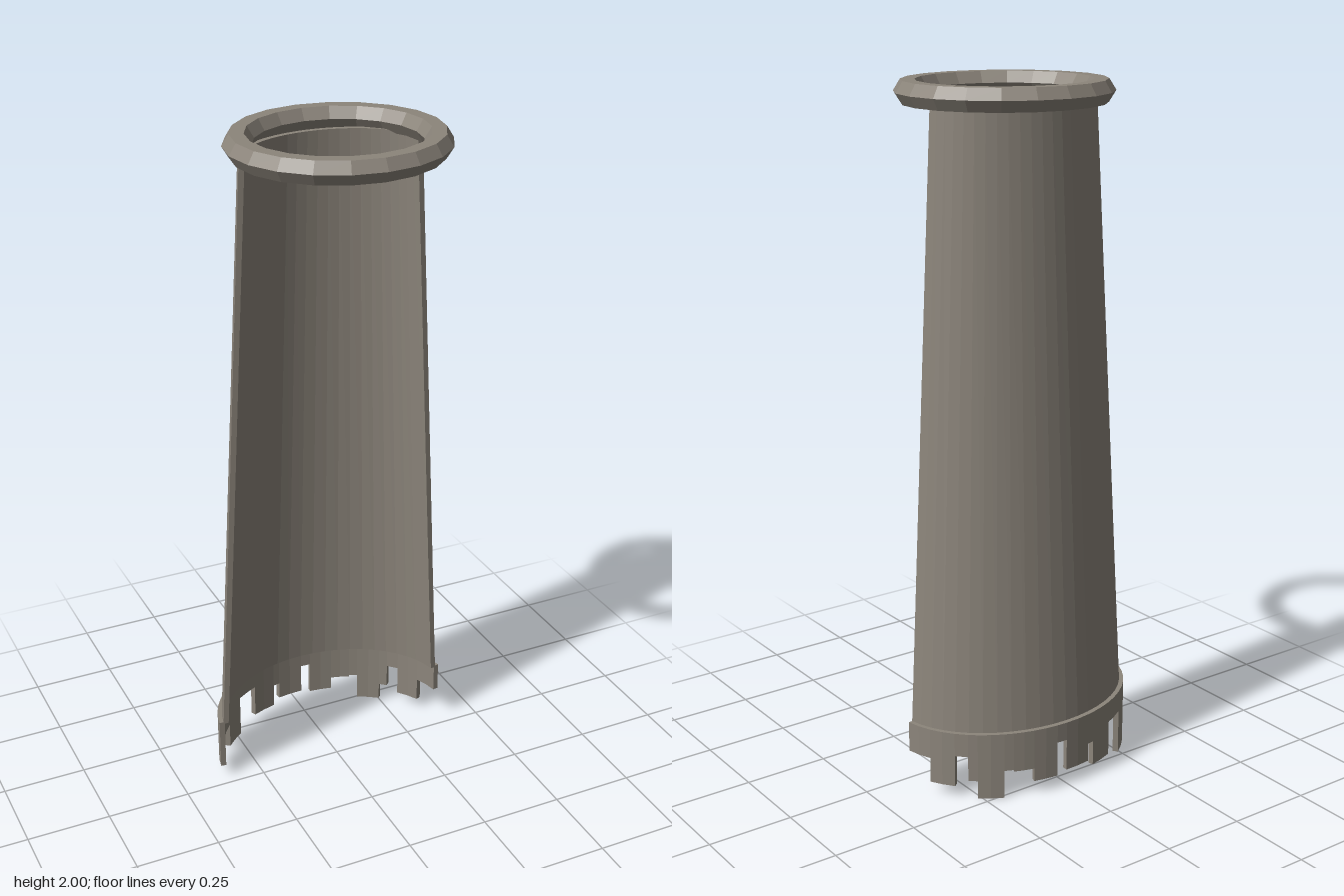
import * as THREE from 'three';

const material = new THREE.MeshStandardMaterial({ color: 0x8c857b, flatShading: true });
const START = THREE.MathUtils.degToRad(7); // angle of the cape's open front edges

// Closed curved wall between angles t0 and t1 round the back (-z).
// low and high are half ellipses { y, a, b }; the wall is built inwards from them.
function curvedWall(t0, t1, low, high, thickness, segments) {
  const positions = [], index = [];
  const corners = [[low, 0], [high, 0], [high, thickness], [low, thickness]];
  for (let i = 0; i <= segments; i++) {
    const t = t0 + (t1 - t0) * i / segments;
    for (const [e, inset] of corners) {
      positions.push((e.a - inset) * Math.cos(t), e.y, -(e.b - inset) * Math.sin(t));
    }
  }
  for (let i = 0; i < segments; i++) {
    for (let k = 0; k < 4; k++) {
      const p = i * 4 + k, q = i * 4 + (k + 1) % 4;
      index.push(p, p + 4, q, q, p + 4, q + 4);
    }
  }
  const e = segments * 4;
  index.push(0, 1, 2, 0, 2, 3, e, e + 2, e + 1, e, e + 3, e + 2);
  const geometry = new THREE.BufferGeometry();
  geometry.setAttribute('position', new THREE.Float32BufferAttribute(positions, 3));
  geometry.setIndex(index);
  const flat = geometry.toNonIndexed();
  flat.computeVertexNormals();
  return flat;
}

export function createModel() {
  const group = new THREE.Group();

  // Faceted neck ring, slightly oval and forward of the cape
  const ringGeometry = new THREE.TorusGeometry(0.27, 0.04, 6, 20);
  ringGeometry.rotateX(Math.PI / 2);
  ringGeometry.scale(1, 0.92, 0.95);
  const ring = new THREE.Mesh(ringGeometry, material);
  ring.name = 'neckRing';
  ring.position.set(0, 1.968, 0.01);
  group.add(ring);

  // Flaring cape, open at the front
  const cape = new THREE.Mesh(curvedWall(START, Math.PI - START,
    { y: 0.195, a: 0.366, b: 0.292 }, { y: 1.945, a: 0.271, b: 0.204 }, 0.016, 24), material);
  cape.name = 'cape';
  group.add(cape);

  // Ragged hem: each tab runs from the previous x to [x, bottom height]
  const hemA = 0.378, hemB = 0.306, hemTop = 0.2;
  const tabs = [
    [0.352, 0.11], [0.31, 0.035], [0.283, 0.13], [0.262, 0.055], [0.198, 0],
    [0.172, 0.085], [0.114, 0.04], [0.04, 0.04], [0.008, 0.145], [-0.076, 0.05],
    [-0.098, 0.105], [-0.177, 0.03], [-0.208, 0.135], [-0.246, 0.135], [-0.304, 0],
    [-0.346, 0.08], [-0.376, 0.04],
  ];
  tabs[6][1] = 0.08; // shorter step beside the notch
  const hem = new THREE.Group();
  hem.name = 'raggedHem';
  let from = START;
  tabs.forEach(([x, bottom], i) => {
    const to = i === tabs.length - 1 ? Math.PI - START : Math.acos(x / hemA);
    const segments = Math.max(1, Math.ceil((to - from) / 0.13));
    const tab = new THREE.Mesh(curvedWall(from, to,
      { y: bottom, a: hemA, b: hemB }, { y: hemTop, a: hemA, b: hemB }, 0.016, segments), material);
    tab.name = 'hemTab';
    hem.add(tab);
    from = to;
  });
  group.add(hem);

  return group;
}
